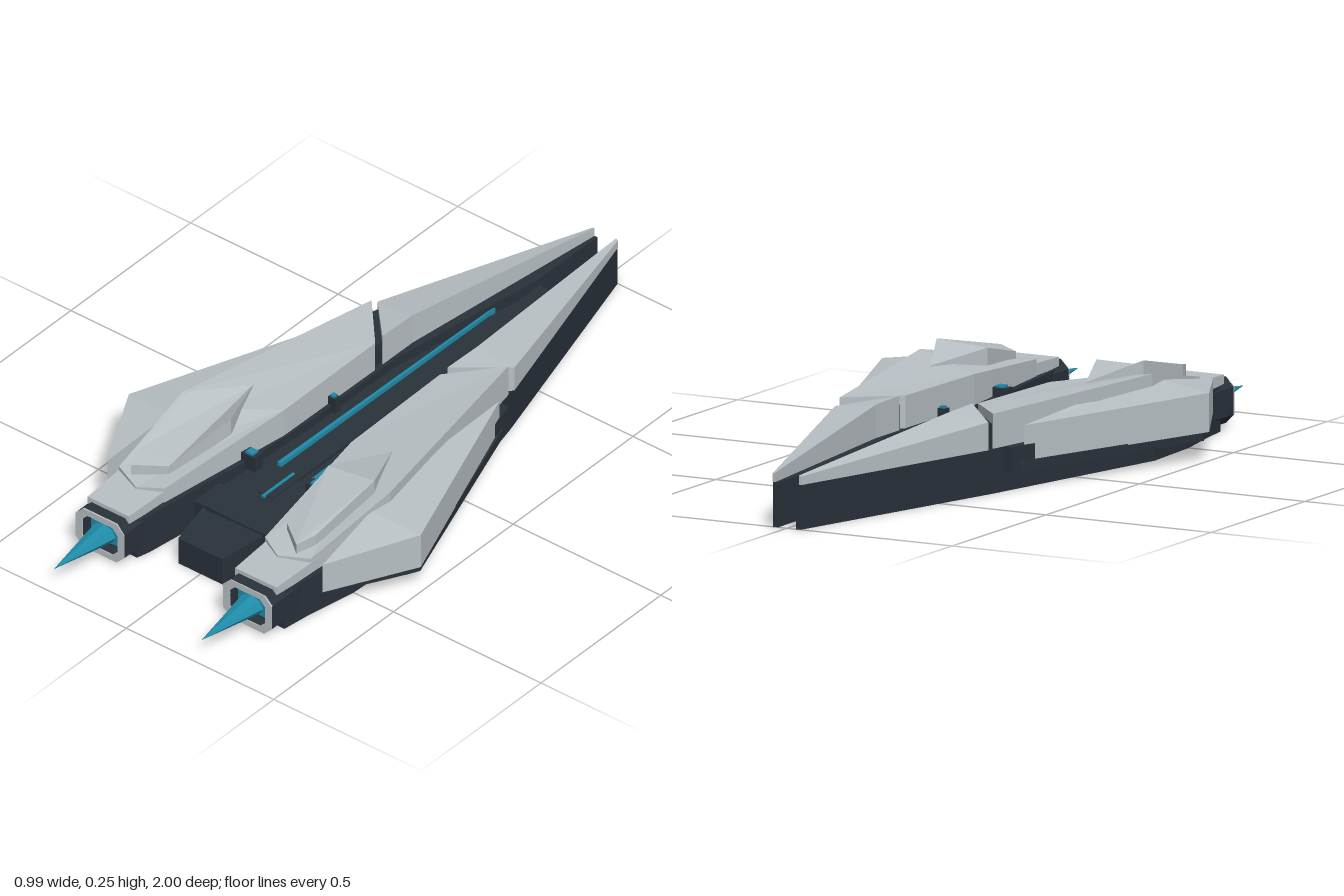
import * as THREE from 'three';

const mat = (color) => new THREE.MeshStandardMaterial({ color, flatShading: true });
const GREY = mat(0xb8c0c4), DARK = mat(0x29313a), TEAL = mat(0x1f8ba8);

// Faceted slab over a plan outline; each point is [x, z, top y, bottom y].
function slab(points, side = 1) {
  let pts = points.map(([x, z, t, b]) => ({ x: x * side, z, t, b }));
  const plan = () => pts.map((p) => new THREE.Vector2(p.x, -p.z));
  if (THREE.ShapeUtils.isClockWise(plan())) pts.reverse();
  const pos = [];
  const top = (p) => pos.push(p.x, p.t, p.z);
  const bottom = (p) => pos.push(p.x, p.b, p.z);
  for (const [a, b, c] of THREE.ShapeUtils.triangulateShape(plan(), [])) {
    [a, b, c].forEach((i) => top(pts[i]));
    [c, b, a].forEach((i) => bottom(pts[i]));
  }
  pts.forEach((p, i) => {
    const q = pts[(i + 1) % pts.length];
    bottom(p); bottom(q); top(q);
    bottom(p); top(q); top(p);
  });
  const g = new THREE.BufferGeometry();
  g.setAttribute('position', new THREE.Float32BufferAttribute(pos, 3));
  g.computeVertexNormals();
  return g;
}

// Plan outline with one constant top and bottom height
const flat = (outline, t, b) => outline.map(([x, z]) => [x, z, t, b]);

// Box given by its limits
function box(x0, x1, y0, y1, z0, z1) {
  return new THREE.BoxGeometry(x1 - x0, y1 - y0, z1 - z0)
    .translate((x0 + x1) / 2, (y0 + y1) / 2, (z0 + z1) / 2);
}

// Rectangle with cut corners, centred on the origin
function cutRect(w, h, c, Type = THREE.Shape) {
  return new Type([[-w, -h + c], [-w + c, -h], [w - c, -h], [w, -h + c],
    [w, h - c], [w - c, h], [-w + c, h], [-w, h - c]].map(([x, y]) => new THREE.Vector2(x, y)));
}

function add(group, name, geometry, material) {
  const mesh = new THREE.Mesh(geometry, material);
  mesh.name = name;
  group.add(mesh);
  return mesh;
}

function engine(side) {
  const g = new THREE.Group();
  g.name = 'engine';
  g.position.set(0.25 * side, 0.074, 0);
  const extrude = (shape, depth, z) =>
    new THREE.ExtrudeGeometry(shape, { depth, bevelEnabled: false }).translate(0, 0, z);
  add(g, 'engineHousing', extrude(cutRect(0.082, 0.062, 0.025), 0.15, 0.62), DARK);
  // Hollow nozzle with a light rim
  const sleeve = cutRect(0.082, 0.062, 0.025);
  sleeve.holes.push(cutRect(0.06, 0.044, 0.018, THREE.Path));
  add(g, 'nozzleSleeve', extrude(sleeve, 0.03, 0.77), DARK);
  add(g, 'nozzleRim', extrude(sleeve, 0.005, 0.798), GREY);
  add(g, 'nozzleGlow', box(-0.045, 0.045, -0.026, 0.026, 0.76, 0.785), TEAL);
  const flame = new THREE.ConeGeometry(1, 0.21, 8).rotateX(Math.PI / 2);
  add(g, 'flame', flame.scale(0.04, 0.028, 1).translate(0, 0, 0.89), TEAL);
  return g;
}

function halfShip(side) {
  const g = new THREE.Group();
  g.name = side > 0 ? 'leftHalf' : 'rightHalf';
  const part = (name, pts, material) => add(g, name, slab(pts, side), material);

  // Dark lower hull
  part('hull', flat([[0.027, -1], [0.042, -1], [0.23, -0.32], [0.375, 0.3], [0.365, 0.5],
    [0.335, 0.66], [0.325, 0.74], [0.175, 0.74], [0.165, 0.7], [0.115, 0.32], [0.1, 0.1],
    [0.1, -0.25], [0.03, -0.75]], 0.12, 0), DARK);
  part('seamFiller', flat([[0.12, -0.24], [0.215, -0.34], [0.24, -0.22], [0.12, -0.1]], 0.185, 0.1), DARK);

  // Nose armour
  part('nosePlate', [[0.036, -1, 0.145, 0.12], [0.044, -1, 0.143, 0.12], [0.232, -0.335, 0.195, 0.12],
    [0.11, -0.205, 0.213, 0.12], [0.11, -0.33, 0.21, 0.12]], GREY);

  // Rear armour: shoulder, then the part falling away to the engine
  const bendIn = [0.113, 0.2, 0.203, 0.11], bendMid = [0.23, 0.3, 0.21, 0.1], bendOut = [0.352, 0.33, 0.226, 0.085];
  part('shoulderPlate', [[0.11, -0.175, 0.208, 0.11], [0.232, -0.31, 0.214, 0.11],
    bendOut, bendMid, bendIn], GREY);
  part('rearPlate', [bendIn, bendMid, bendOut, [0.325, 0.63, 0.166, 0.085],
    [0.24, 0.665, 0.158, 0.1], [0.17, 0.63, 0.166, 0.11]], GREY);
  part('engineCover', [[0.172, 0.6, 0.155, 0.11], [0.328, 0.6, 0.155, 0.11],
    [0.32, 0.767, 0.148, 0.12], [0.18, 0.767, 0.148, 0.12]], GREY);

  // Raised canopy on the rear armour
  part('canopy', [[0.235, 0.18, 0.217, 0.19], [0.313, 0.35, 0.255, 0.2], [0.302, 0.58, 0.205, 0.17],
    [0.28, 0.635, 0.195, 0.16], [0.2, 0.575, 0.193, 0.16], [0.165, 0.36, 0.242, 0.19]], GREY);

  // Side wing and its dark underside
  part('sideWing', [[0.275, -0.22, 0.172, 0.075], [0.495, 0.38, 0.18, 0.075],
    [0.365, 0.63, 0.165, 0.075], [0.342, 0.4, 0.198, 0.075], [0.3, 0.1, 0.195, 0.075]], GREY);
  part('wingUnderside', flat([[0.25, -0.26], [0.28, -0.23], [0.485, 0.37], [0.47, 0.4],
    [0.36, 0.6], [0.33, 0.4]], 0.078, 0.052), DARK);
  part('wingRoot', flat([[0.235, -0.27], [0.265, -0.27], [0.3, -0.14], [0.27, -0.1]], 0.12, 0.052), DARK);

  // Inner trench: glowing strip and small nodes
  part('glowStrip', flat([[0.048, -0.6], [0.054, -0.6], [0.064, 0.29], [0.052, 0.29]], 0.108, 0.09), TEAL);
  for (const [x, z, r] of [[0.11, 0.34, 0.024], [0.1, 0.01, 0.014]]) {
    const X = x * side;
    add(g, 'node', box(X - r, X + r, 0.1, 0.145, z - r * 0.7, z + r * 0.7), DARK);
    add(g, 'nodeLamp', box(X - r / 2, X + r / 2, 0.14, 0.151, z - r / 2, z + r / 2), TEAL);
  }
  g.add(engine(side));
  return g;
}

export function createModel() {
  const ship = new THREE.Group();
  ship.name = 'spaceship';
  for (const side of [1, -1]) ship.add(halfShip(side));

  // Centre body
  const centre = new THREE.Group();
  centre.name = 'centreBody';
  ship.add(centre);
  const mirrored = (half) => [...half, ...half.map(([x, ...r]) => [-x, ...r]).reverse()];
  add(centre, 'floor', slab(mirrored([[0.03, -0.69], [0.105, -0.2], [0.105, 0.2], [0.12, 0.45]]
    .map(([x, z]) => [x, z, 0.095, 0]))), DARK);
  add(centre, 'spine', box(-0.025, 0.025, 0.01, 0.104, -0.755, 0.42), DARK);
  add(centre, 'spineLamp', box(-0.004, 0.004, 0.09, 0.107, 0.3, 0.43), TEAL);
  add(centre, 'ramp', slab(mirrored([[0.09, 0.31, 0.1, 0], [0.11, 0.45, 0.1, 0]])), DARK);
  add(centre, 'crossBlock', box(-0.13, 0.13, 0.04, 0.101, 0.45, 0.555), DARK);
  add(centre, 'tail', slab(mirrored([[0.1, 0.45, 0.095, 0], [0.1, 0.555, 0.095, 0], [0.075, 0.69, 0.082, 0]])), DARK);
  return ship;
}
